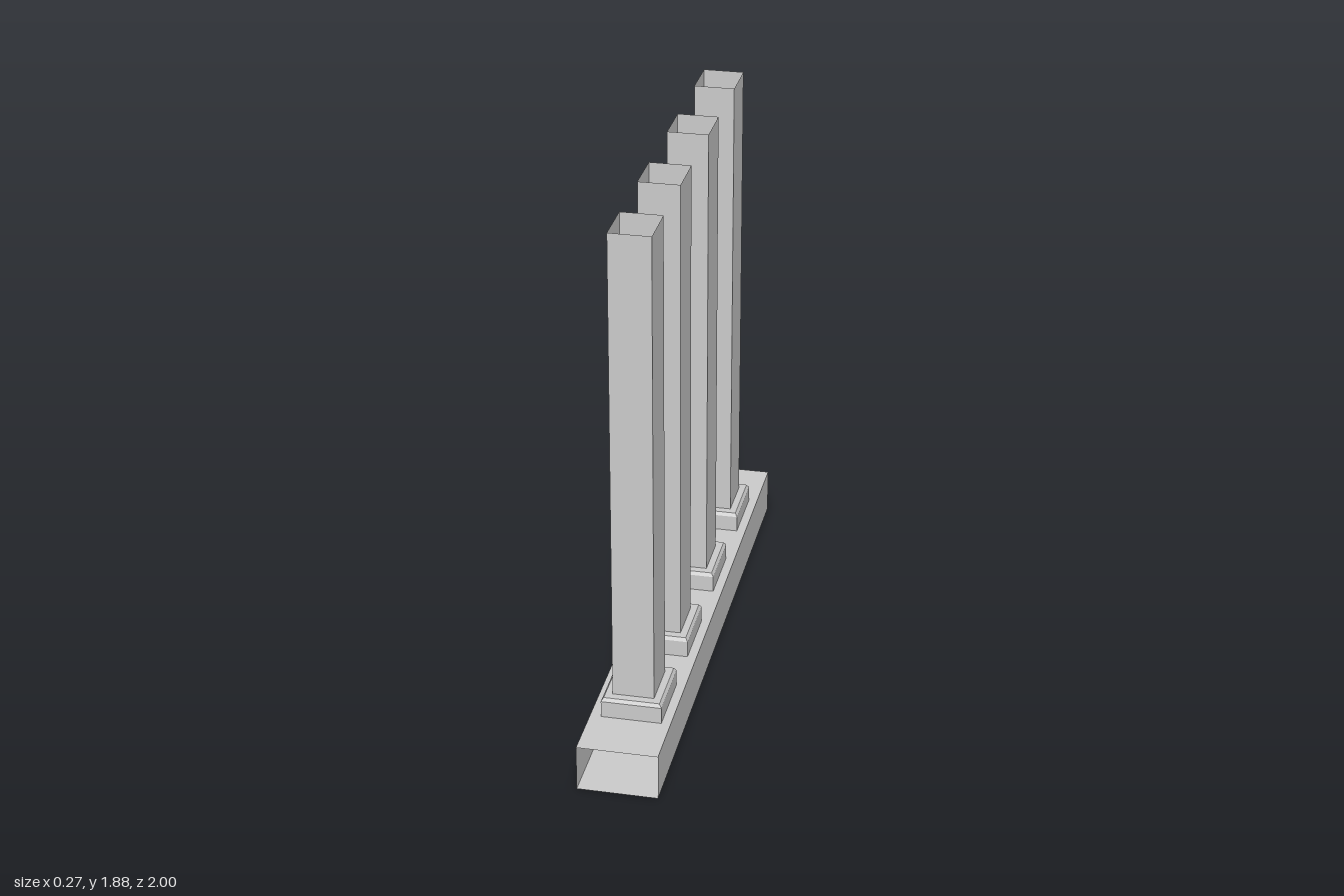
import * as THREE from 'three';

const solid = new THREE.MeshStandardMaterial({ color: 0xcccccc, flatShading: true });
const sheet = new THREE.MeshStandardMaterial({ color: 0xcccccc, flatShading: true, side: THREE.DoubleSide });

// Thin-walled rectangular tube, open at both ends of the given axis
function openTube(w, h, d, axis) {
  const geo = new THREE.BoxGeometry(w, h, d);
  const index = Array.from(geo.index.array);
  const first = { x: 0, y: 12, z: 24 }[axis];
  index.splice(first, 12);
  geo.setIndex(index);
  geo.clearGroups();
  return geo;
}

// Block whose upper edge is bevelled
function bevelledBlock(w, h, d, bevelIn, bevelDown) {
  const geo = new THREE.BoxGeometry(w, h, d, 1, 2, 1);
  const p = geo.attributes.position;
  for (let i = 0; i < p.count; i++) {
    const y = p.getY(i);
    if (y > h / 4) {
      p.setX(i, p.getX(i) - Math.sign(p.getX(i)) * bevelIn);
      p.setZ(i, p.getZ(i) - Math.sign(p.getZ(i)) * bevelIn);
    } else if (y > -h / 4) p.setY(i, h / 2 - bevelDown);
  }
  const flat = geo.toNonIndexed();
  flat.computeVertexNormals();
  return flat;
}

function add(parent, name, geo, mat, x, y, z) {
  const mesh = new THREE.Mesh(geo, mat);
  mesh.name = name;
  mesh.position.set(x, y, z);
  parent.add(mesh);
}

export function createModel() {
  const model = new THREE.Group();
  model.name = 'postRack';

  // Hollow base rail, open at front and back
  const baseH = 0.16;
  add(model, 'baseRail', openTube(0.272, baseH, 2, 'z'), sheet, 0, baseH / 2, 0);

  // Four hollow posts, each standing in a collar
  const collarTop = 0.23, postTop = 1.88;
  const collarGeo = bevelledBlock(0.204, collarTop - baseH, 0.242, 0.008, 0.012);
  const postGeo = openTube(0.14, postTop - collarTop, 0.17, 'y');
  [0.683, 0.26, -0.19, -0.64].forEach((z, i) => {
    const post = new THREE.Group();
    post.name = `post${i + 1}`;
    post.position.set(0.003, 0, z);
    add(post, 'collar', collarGeo, solid, 0, (baseH + collarTop) / 2, 0);
    add(post, 'hollowPost', postGeo, sheet, 0, (collarTop + postTop) / 2, 0);
    model.add(post);
  });

  return model;
}
